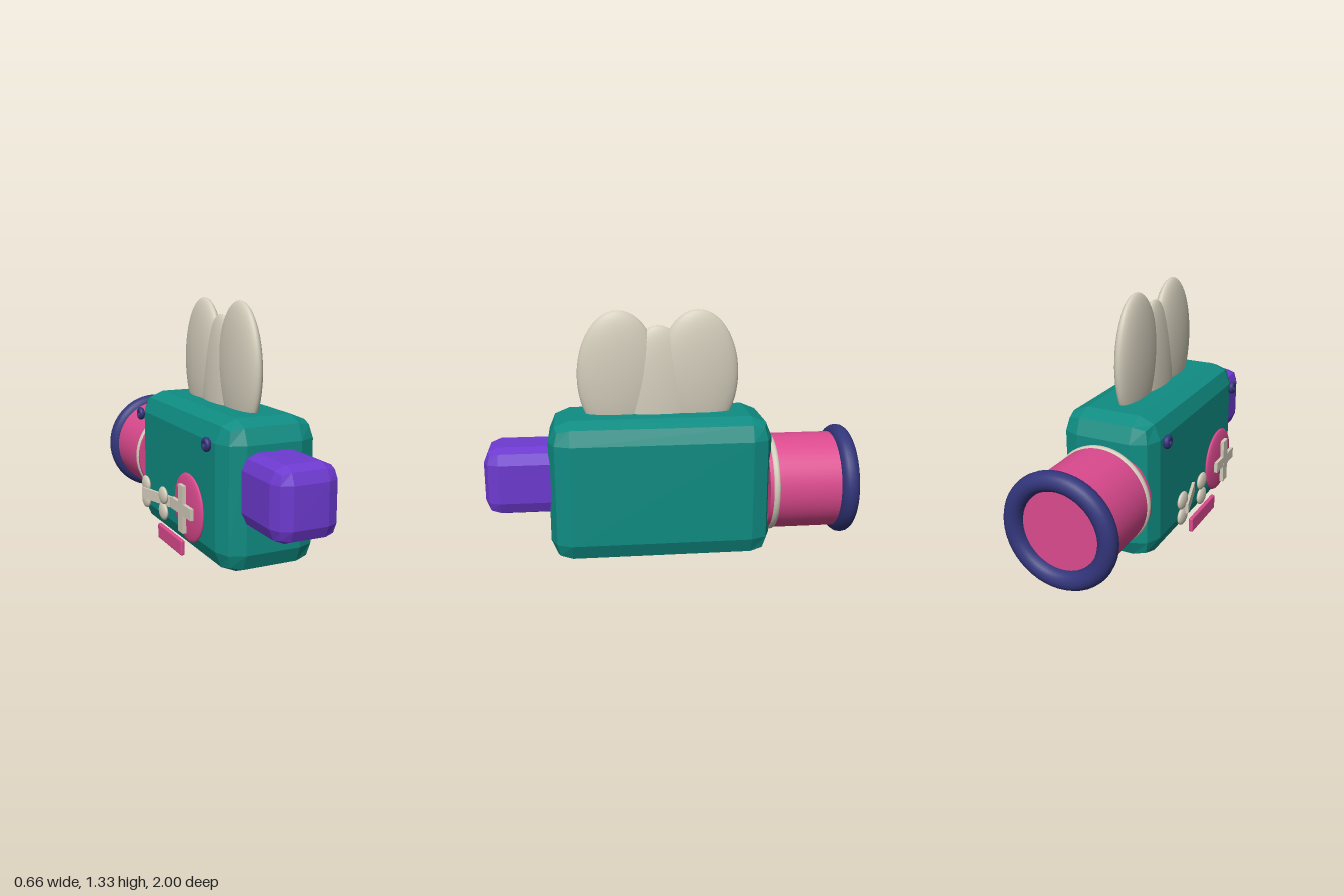
import * as THREE from 'three';
import { RoundedBoxGeometry } from 'three/addons/geometries/RoundedBoxGeometry.js';

const mat = (name, color, flatShading = false) => {
  const m = new THREE.MeshStandardMaterial({ color, flatShading });
  m.name = name;
  return m;
};

export function createModel() {
  const teal = mat('teal', 0x0f8c82, true);
  const purple = mat('purple', 0x6e3ad0, true);
  const pink = mat('pink', 0xdb4a8e);
  const navy = mat('navy', 0x32357a);
  const bone = mat('bone', 0xd2ccba);

  const group = new THREE.Group();
  const CX = 0.02; // centre line of the body

  const add = (name, geometry, material, x, y, z, parent = group) => {
    const mesh = new THREE.Mesh(geometry, material);
    mesh.name = name;
    mesh.position.set(x, y, z);
    parent.add(mesh);
    return mesh;
  };
  const ellipsoid = (rx, ry, rz) => new THREE.SphereGeometry(1, 40, 24).scale(rx, ry, rz);

  // Bevelled body and front block (two-step bevels)
  add('body', new RoundedBoxGeometry(0.53, 0.775, 1.19, 1, 0.115), teal, CX, 0.3925, 0.065);
  add('frontBlock', new RoundedBoxGeometry(0.345, 0.37, 0.5, 1, 0.08), purple, 0.0175, 0.445, 0.75);

  // Rear barrel with its collar and end ring
  add('barrel', new THREE.CylinderGeometry(0.265, 0.265, 0.44, 48).rotateX(Math.PI / 2), pink, CX, 0.365, -0.73);
  add('barrelCollar', new THREE.TorusGeometry(0.253, 0.021, 12, 48), bone, CX, 0.365, -0.547);
  add('barrelRing', new THREE.TorusGeometry(0.255, 0.05, 16, 48), navy, CX, 0.365, -0.95);

  // Three-lobed crest on top
  const crest = new THREE.Group();
  crest.name = 'crest';
  group.add(crest);
  for (const [name, z] of [['frontLobe', 0.28], ['rearLobe', -0.15]])
    add(name, ellipsoid(0.065, 0.35, 0.22), bone, CX, 0.98, z, crest);
  add('middleLobe', ellipsoid(0.065, 0.45, 0.2), bone, CX, 0.8, 0.065, crest);

  // Round badge with a cross on the right side
  add('badge', ellipsoid(0.025, 0.18, 0.18), pink, -0.277, 0.285, 0.3);
  add('crossUpright', new THREE.BoxGeometry(0.02, 0.25, 0.06), bone, -0.315, 0.285, 0.3);
  add('crossBar', new THREE.BoxGeometry(0.019, 0.06, 0.25), bone, -0.315, 0.285, 0.3);

  // Bone ornament: slanted shaft and four knobs
  const ornament = new THREE.Group();
  ornament.name = 'boneOrnament';
  group.add(ornament);
  const shaft = add('boneShaft', new THREE.BoxGeometry(0.016, 0.06, 0.26), bone, -0.288, 0.23, -0.125, ornament);
  shaft.rotation.y = Math.atan2(0.07, 0.25);
  for (const z of [-0.255, 0.005])
    for (const y of [0.185, 0.275])
      add('boneKnob', ellipsoid(0.018, 0.048, 0.055), bone, -0.3, y, z, ornament);

  // Small eyelets and the low side plate
  for (const z of [0.51, -0.395])
    add('eyelet', new THREE.TorusGeometry(0.021, 0.016, 12, 24).rotateY(Math.PI / 2), navy, -0.276, 0.659, z);
  add('sidePlate', new RoundedBoxGeometry(0.024, 0.083, 0.33, 2, 0.008), pink, -0.282, 0.0435, 0.065);

  return group;
}
